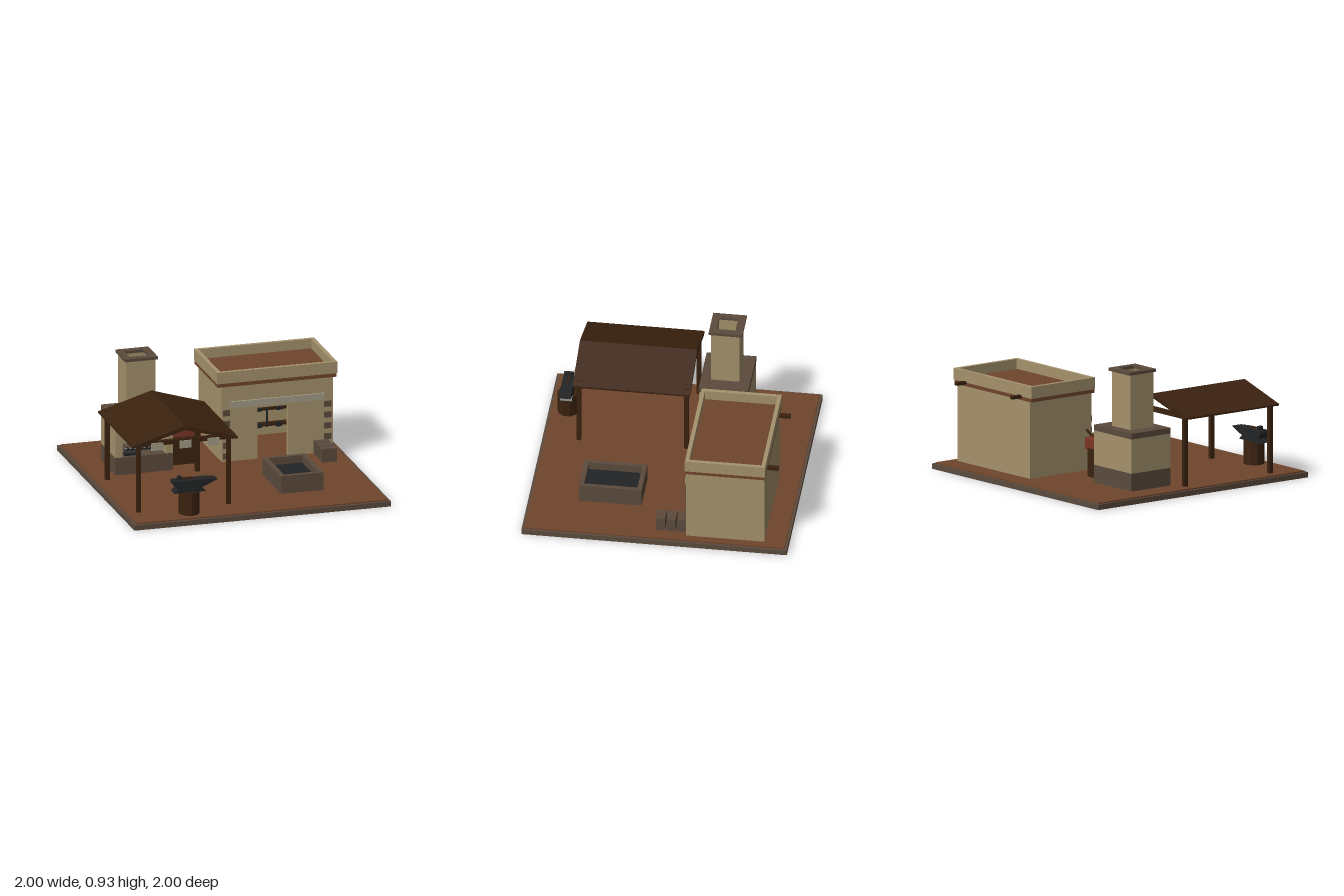
import * as THREE from 'three';

const mat = (name, color) => {
  const m = new THREE.MeshStandardMaterial({ color });
  m.name = name;
  return m;
};

export function createModel() {
  const root = new THREE.Group();
  root.name = 'smithyYard';
  const clay = mat('clay', 0x70452d), tan = mat('sandPlaster', 0xa5926c), stone = mat('stone', 0x5b4b3d);
  const wood = mat('darkWood', 0x3b220f), iron = mat('iron', 0x232425), pale = mat('paleStone', 0xa39c86);
  const red = mat('redLeather', 0x7a3424);

  const group = (name, parent = root) => {
    const g = new THREE.Group();
    g.name = name;
    parent.add(g);
    return g;
  };
  const add = (parent, name, geo, material) => {
    const m = new THREE.Mesh(geo, material);
    m.name = name;
    parent.add(m);
    return m;
  };
  // Box given by its extents
  const box = (parent, name, material, x0, x1, y0, y1, z0, z1) => {
    const m = add(parent, name, new THREE.BoxGeometry(x1 - x0, y1 - y0, z1 - z0), material);
    m.position.set((x0 + x1) / 2, (y0 + y1) / 2, (z0 + z1) / 2);
    return m;
  };
  const poly = (pts, depth) => new THREE.ExtrudeGeometry(
    new THREE.Shape(pts.map(p => new THREE.Vector2(...p))), { depth, bevelEnabled: false });
  const rect = (x0, x1, y0, y1) => [[x0, y0], [x1, y0], [x1, y1], [x0, y1]].map(p => new THREE.Vector2(...p));
  // Upright rectangular tube: outer extents o and hole extents h as [x0, x1, z0, z1]
  const frame = (parent, name, material, o, h, y0, y1) => {
    const s = new THREE.Shape(rect(o[0], o[1], -o[3], -o[2]));
    s.holes.push(new THREE.Path(rect(h[0], h[1], -h[3], -h[2])));
    const g = new THREE.ExtrudeGeometry(s, { depth: y1 - y0, bevelEnabled: false }).rotateX(-Math.PI / 2);
    add(parent, name, g, material).position.y = y0;
  };

  // Ground slab
  box(root, 'stoneSlab', stone, -1, 1, 0, 0.04, -1, 1);
  box(root, 'clayGround', clay, -0.98, 0.98, 0.04, 0.05, -0.98, 0.98);

  // House: front wall with doorway, plain side and back walls
  const house = group('house');
  add(house, 'frontWall', poly([[0.05, 0.05], [0.33, 0.05], [0.33, 0.45], [0.57, 0.45], [0.57, 0.05],
    [0.92, 0.05], [0.92, 0.64], [0.05, 0.64]], 0.05), tan).position.z = -0.28;
  box(house, 'backWall', tan, 0.05, 0.92, 0.05, 0.64, -0.82, -0.77);
  box(house, 'leftWall', tan, 0.87, 0.92, 0.05, 0.64, -0.77, -0.28);
  box(house, 'rightWall', tan, 0.05, 0.1, 0.05, 0.64, -0.77, -0.28);
  box(house, 'clayBand', clay, 0.02, 0.947, 0.637, 0.667, -0.828, -0.227);
  box(house, 'roofFloor', clay, 0.04, 0.93, 0.66, 0.68, -0.81, -0.25);
  frame(house, 'parapet', tan, [0.015, 0.952, -0.83, -0.225], [0.046, 0.922, -0.8, -0.255], 0.665, 0.755);
  box(house, 'lintel', pale, 0.12, 0.85, 0.47, 0.52, -0.24, -0.215);
  for (const x of [0.06, 0.85])
    for (let i = 0; i < 5; i++)
      box(house, 'cornerStone', stone, x, x + 0.055, 0.07 + i * 0.085, 0.115 + i * 0.085, -0.25, -0.22);
  for (const x of [0.135, 0.8]) box(house, 'roofBeam', wood, x, x + 0.035, 0.652, 0.675, -0.915, -0.75);

  // Tool rack inside the doorway
  const rack = group('toolRack');
  for (const y of [0.385, 0.26]) box(rack, 'rackRail', wood, 0.25, 0.65, y, y + 0.025, -0.38, -0.34);
  for (const x of [0.25, 0.62]) box(rack, 'rackPost', wood, x, x + 0.03, 0.05, 0.41, -0.38, -0.34);
  box(rack, 'hangingBar', iron, 0.43, 0.442, 0.26, 0.41, -0.338, -0.325);
  for (const x of [0.35, 0.505]) {
    box(rack, 'upperHook', iron, x, x + 0.045, 0.385, 0.41, -0.34, -0.325);
    box(rack, 'lowerHook', iron, x, x + 0.045, 0.255, 0.29, -0.34, -0.325);
  }

  // Stone blocks beside the house
  for (const z of [-0.225, -0.145, -0.065])
    box(root, 'stoneBlock', stone, 0.765, 0.88, 0.05, 0.155, z, z + 0.067);

  // Quenching trough
  const trough = group('trough');
  frame(trough, 'troughWalls', stone, [0.255, 0.59, 0.15, 0.622], [0.29, 0.555, 0.185, 0.587], 0.05, 0.188);
  box(trough, 'darkWater', iron, 0.28, 0.565, 0.05, 0.13, 0.175, 0.597);

  // Forge, open at the front, with a hollow chimney
  const forge = group('forge');
  const flue = [-0.66, -0.5, -0.415, -0.265];
  box(forge, 'forgeBase', stone, -0.8, -0.352, 0.05, 0.185, -0.525, -0.155);
  box(forge, 'forgeSideRight', tan, -0.8, -0.745, 0.185, 0.447, -0.525, -0.155);
  box(forge, 'forgeSideLeft', tan, -0.407, -0.352, 0.185, 0.447, -0.525, -0.155);
  box(forge, 'forgeBack', tan, -0.745, -0.407, 0.185, 0.447, -0.525, -0.47);
  frame(forge, 'forgeTop', stone, [-0.802, -0.35, -0.527, -0.153], flue, 0.447, 0.49);
  frame(forge, 'chimney', tan, [-0.69, -0.465, -0.447, -0.23], flue, 0.49, 0.91);
  frame(forge, 'chimneyCap', stone, [-0.705, -0.45, -0.468, -0.215], [-0.655, -0.505, -0.41, -0.27], 0.91, 0.932);
  box(forge, 'fireTray', iron, -0.72, -0.6, 0.185, 0.2, -0.23, -0.18);
  for (let i = 0; i < 6; i++)
    add(forge, 'coal', new THREE.IcosahedronGeometry(0.024, 0), iron).position.set(-0.67 + i * 0.037, 0.195, -0.3);

  // Bellows on a wooden stand
  const bellows = group('bellows');
  box(bellows, 'bellowsStand', wood, -0.32, -0.145, 0.05, 0.265, -0.425, -0.26);
  add(bellows, 'bellowsBag', poly([[-0.355, 0.265], [-0.1, 0.25], [-0.1, 0.34], [-0.355, 0.29]], 0.147), red)
    .position.z = -0.414;
  add(bellows, 'bellowsHandle', poly([[-0.11, 0.322], [-0.033, 0.367], [-0.033, 0.382], [-0.11, 0.338]], 0.016), wood)
    .position.z = -0.348;

  // Open canopy with a gabled roof
  const canopy = group('canopy');
  for (const x of [-0.902, -0.2])
    for (const z of [0.71, -0.1])
      box(canopy, 'canopyPost', wood, x, x + 0.032, 0.05, 0.597, z, z + 0.032);
  for (const z of [0.71, -0.1]) box(canopy, 'crossBeam', wood, -0.9, -0.17, 0.562, 0.597, z, z + 0.03);
  add(canopy, 'gableRoof', poly([[-0.946, 0.567], [-0.9, 0.569], [-0.533, 0.673], [-0.166, 0.569], [-0.12, 0.567],
    [-0.12, 0.58], [-0.533, 0.705], [-0.946, 0.58]], 0.884), wood).position.z = -0.118;
  for (const x of [-0.8, -0.58, -0.36])
    box(canopy, 'hangingPlate', pale, x, x + 0.093, 0.535, 0.594, 0.767, 0.775);

  // Anvil on a stump, hammer on top
  const anvil = group('anvil');
  const stump = add(anvil, 'stump', new THREE.CylinderGeometry(0.078, 0.078, 0.175, 10).toNonIndexed(), wood);
  stump.geometry.computeVertexNormals();
  stump.position.set(-0.53, 0.1375, 0.855);
  add(anvil, 'anvilBody', poly([[-0.66, 0.225], [-0.41, 0.225], [-0.445, 0.258], [-0.415, 0.268], [-0.32, 0.31],
    [-0.41, 0.317], [-0.662, 0.317], [-0.662, 0.288], [-0.63, 0.258]], 0.09), iron).position.z = 0.81;
  box(anvil, 'hammerHead', iron, -0.618, -0.592, 0.317, 0.346, 0.835, 0.872);
  box(anvil, 'hammerHandle', wood, -0.592, -0.5, 0.32, 0.332, 0.848, 0.86);

  return root;
}
